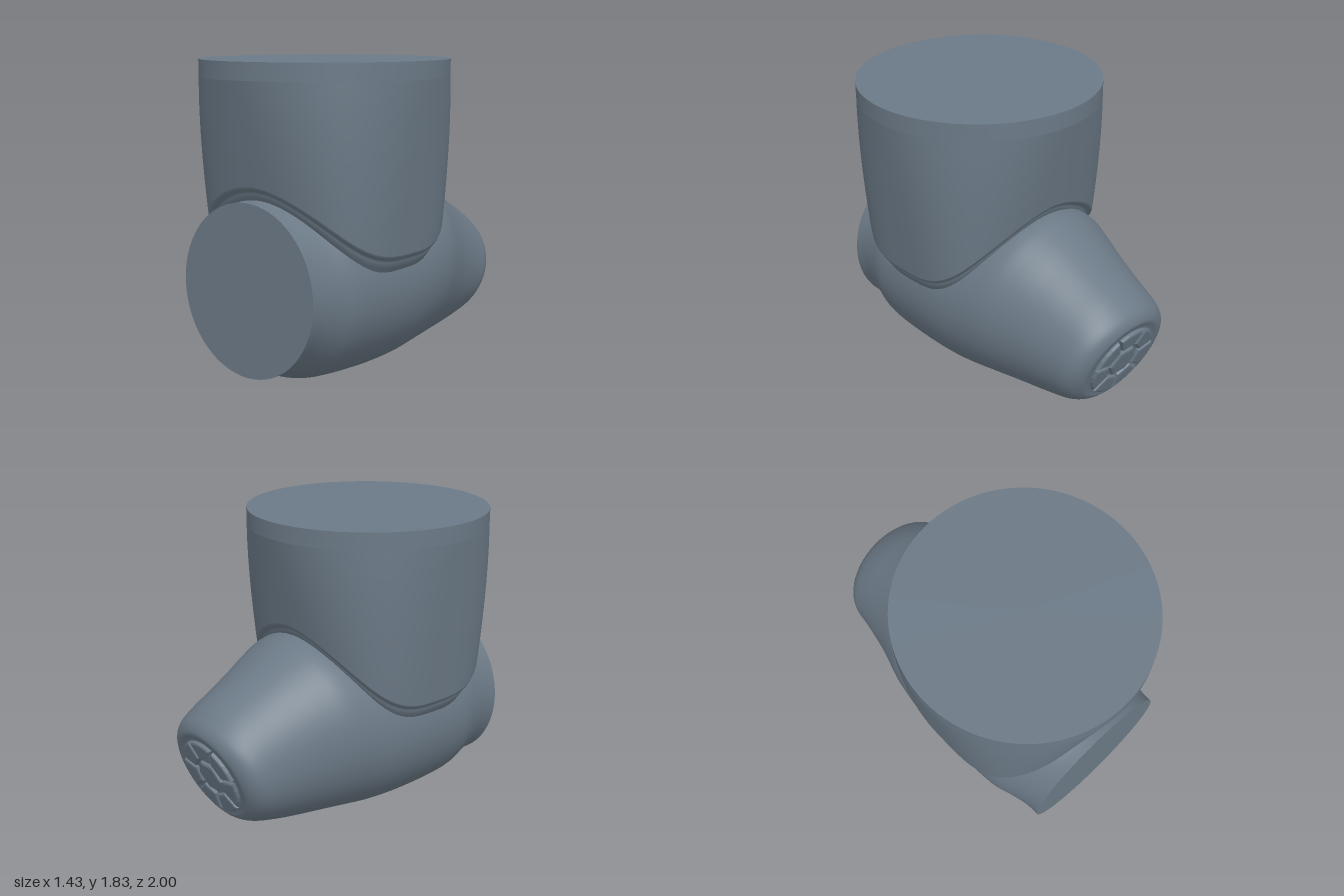
import * as THREE from 'three';

const SEG = 96;

// Skin a list of closed rings; each ring is a function of angle returning [x, y, z]
function loft(rings) {
  const pos = [], idx = [];
  for (const ring of rings)
    for (let j = 0; j < SEG; j++) pos.push(...ring((j / SEG) * Math.PI * 2));
  for (let i = 0; i < rings.length - 1; i++)
    for (let j = 0; j < SEG; j++) {
      const k = (j + 1) % SEG, a = i * SEG, b = a + SEG;
      idx.push(a + j, b + j, a + k, a + k, b + j, b + k);
    }
  const g = new THREE.BufferGeometry();
  g.setAttribute('position', new THREE.Float32BufferAttribute(pos, 3));
  g.setIndex(idx);
  g.computeVertexNormals();
  return g;
}

// Tilted ellipse between a top point and a bottom point, half width w
function section(zt, yt, zb, yb, w, s = 1) {
  const cy = (yt + yb) / 2, cz = (zt + zb) / 2, h = (yt - yb) / 2, d = (zt - zb) / 2;
  return a => [w * s * Math.cos(a), cy + h * s * Math.sin(a), cz + d * s * Math.sin(a)];
}

// Collar cross-section: round at the rim, squarer and smaller towards the bottom
const power = (v, e) => Math.sign(v) * Math.abs(v) ** e;
function collarPoint(a, y, s = 1, dy = 0) {
  const down = Math.max(0, 1.73 - y);
  const e = 2 / (2 + 1.15 * Math.min(1, down / 0.85));
  const rx = 0.717 - 0.1 * down, rz = 0.72 - 0.19 * down;
  return [rx * s * power(Math.cos(a), e), y + dy, 0.28 - rz * s * power(Math.sin(a), e)];
}
// Saddle-shaped lower edge: low on the sides, arched at front and a little higher at the back
const edgeY = a =>
  0.77 + (Math.sin(a) > 0 ? 0.44 : 0.38) * (1 - Math.abs(Math.cos(a)) ** 1.36);

export function createModel() {
  const model = new THREE.Group();
  const slate = new THREE.MeshStandardMaterial({ color: 0x6b7986 });
  slate.name = 'slate blue grey';
  const add = (name, geometry, parent = model) => {
    const mesh = new THREE.Mesh(geometry, slate);
    mesh.name = name;
    parent.add(mesh);
    return mesh;
  };

  // Body sections: top z, top y, bottom z, bottom y, half width
  const sections = [
    [0.94, 1.07, 0.94, 0.09, 0.488],
    [0.87, 1.07, 0.84, 0.09, 0.492],
    [0.76, 1.08, 0.74, 0.06, 0.515],
    [0.6, 1.11, 0.6, 0.02, 0.555],
    [0.3, 1.13, 0.3, 0.003, 0.572],
    [0.0, 1.13, 0.05, 0.01, 0.57],
    [-0.3, 1.14, -0.15, 0.03, 0.54],
    [-0.45, 1.085, -0.28, 0.043, 0.5],
    [-0.6, 1.0, -0.4, 0.055, 0.457],
    [-0.75, 0.915, -0.52, 0.072, 0.425],
    [-0.86, 0.855, -0.61, 0.09, 0.405],
    [-0.935, 0.8, -0.71, 0.115, 0.39],
    [-0.98, 0.755, -0.775, 0.138, 0.355],
    [-0.997, 0.705, -0.815, 0.165, 0.3],
    [-0.982, 0.67, -0.825, 0.195, 0.257],
  ];
  const tops = new THREE.CatmullRomCurve3(
    sections.map(s => new THREE.Vector3(s[4], s[1], s[0])), false, 'catmullrom');
  const bottoms = new THREE.CatmullRomCurve3(
    sections.map(s => new THREE.Vector3(0, s[3], s[2])), false, 'catmullrom');
  const rings = [];
  for (let i = 0; i <= 56; i++) {
    const t = tops.getPoint(i / 56), b = bottoms.getPoint(i / 56);
    rings.push(section(t.z, t.y, b.z, b.y, t.x));
  }
  add('body', loft(rings));
  const first = sections[0], last = sections[sections.length - 1];
  add('frontFace', loft([0, 1].map(s => section(...first, s))));
  add('backFace', loft([1, 0].map(s => section(...last, s))));

  // Collar: flat top, vertical rim, tapering wall
  add('collarTop', loft([0, 1].map(s => a => collarPoint(a, 1.83, s))));
  add('collarRim', loft([1.83, 1.73].map(y => a => collarPoint(a, y))));
  const wall = [];
  for (let i = 0; i <= 10; i++)
    wall.push(a => collarPoint(a, THREE.MathUtils.lerp(1.73, edgeY(a), i / 10)));
  add('collarWall', loft(wall));

  // Rounded lip, groove and fillet running into the body: scale, drop
  const lip = [[1, 0], [0.99, -0.014], [0.968, -0.022], [0.955, -0.028], [0.95, -0.04],
    [0.945, -0.055], [0.925, -0.075], [0.9, -0.1], [0.84, -0.16]];
  add('collarLip', loft(lip.map(([s, dy]) => a => collarPoint(a, edgeY(a), s, dy))));

  // Raised plates on the slanted back face
  const plates = new THREE.Group();
  plates.name = 'backPlates';
  plates.position.set(0, 0.433, -0.904);
  plates.lookAt(0, 0.433 - 0.32, -0.904 - 0.95);
  model.add(plates);
  const plate = (name, points) => add(name, new THREE.ExtrudeGeometry(
    new THREE.Shape(points), {
      depth: 0.008, bevelEnabled: true, bevelSize: 0.014, bevelThickness: 0.014, bevelSegments: 2,
    }), plates);
  const polar = (r, a) => new THREE.Vector2(r * Math.cos(a), r * Math.sin(a));
  const count = 7;
  for (let i = 0; i < count; i++) {
    const mid = Math.PI / 2 + (i / count) * Math.PI * 2, half = Math.PI / count;
    const points = [];
    for (let k = -2; k <= 2; k++) points.push(polar(0.224, mid + (half - 0.09) * k / 2));
    points.push(polar(0.135, mid + half - 0.15), polar(0.135, mid - half + 0.15));
    plate('outerPlate', points);
  }
  plate('centrePlate', Array.from({ length: 6 }, (_, i) => polar(0.09, i * Math.PI / 3)));

  return model;
}
